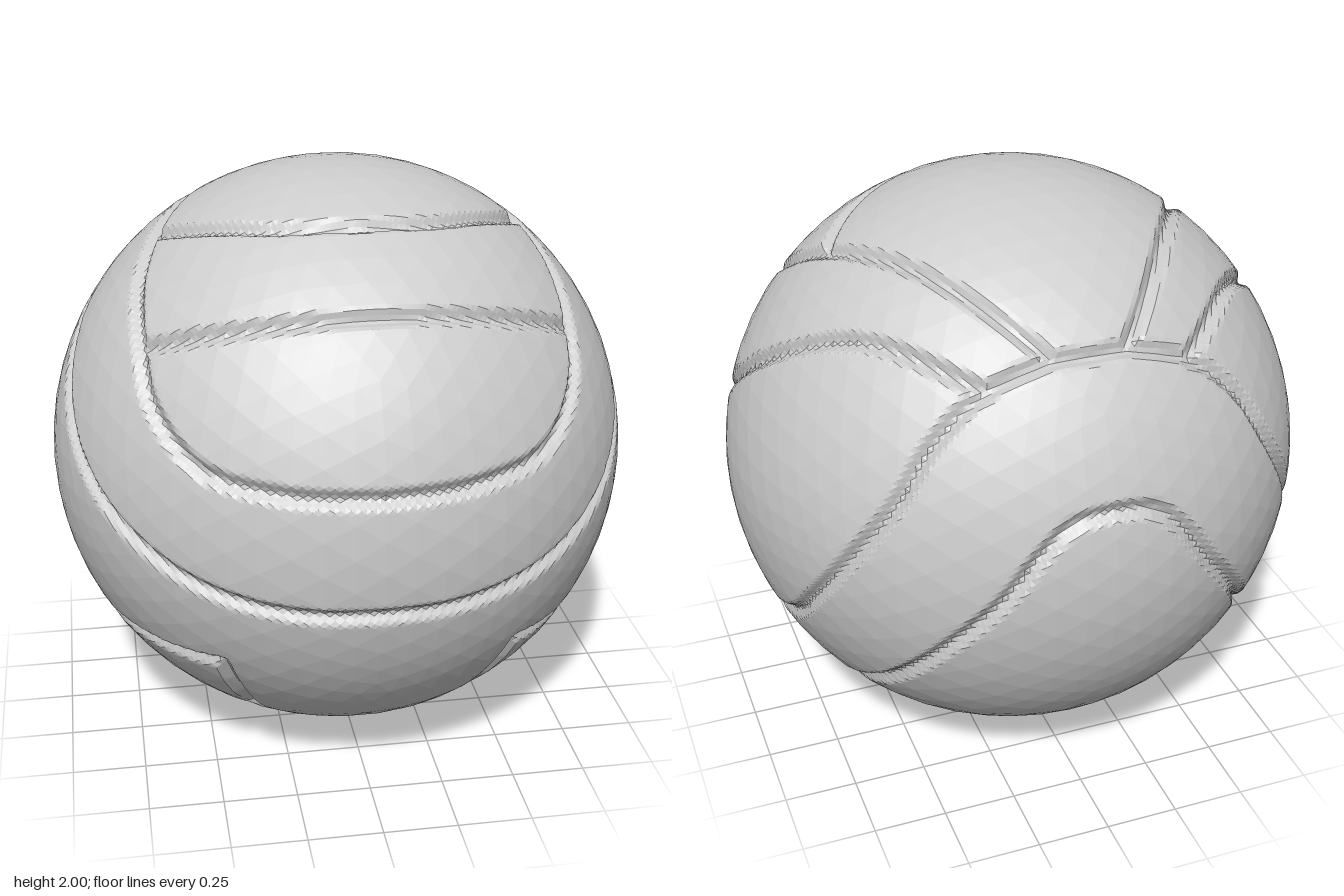
import * as THREE from 'three';

// Seam paths on the +x half of a unit sphere; the other half is mirrored.
const SEAMS = {
  topFront: [[0, 0.89, 0.45], [0.25, 0.88, 0.4], [0.5, 0.84, 0.22], [0.62, 0.78, 0.05]],
  frontMiddle: [[0, 0.68, 0.73], [0.4, 0.64, 0.66], [0.7, 0.53, 0.48]],
  upperBand: [[0, 0.19, 0.98], [0.3, 0.2, 0.93], [0.55, 0.25, 0.8], [0.68, 0.4, 0.61], [0.7, 0.53, 0.48],
    [0.69, 0.67, 0.27], [0.62, 0.78, 0.05], [0.42, 0.84, -0.33], [0.12, 0.67, -0.73]],
  lowerBand: [[0, -0.21, 0.98], [0.3, -0.2, 0.93], [0.6, -0.13, 0.79], [0.85, 0.05, 0.52], [0.93, 0.21, 0.3],
    [0.85, 0.51, -0.1], [0.62, 0.66, -0.4], [0.33, 0.6, -0.73]],
  sideStripTop: [[0, 0.67, -0.74], [0.12, 0.67, -0.73], [0.34, 0.6, -0.73], [0.5, 0.46, -0.73], [0.64, 0.25, -0.73],
    [0.78, 0, -0.62], [0.85, -0.17, -0.5], [0.88, -0.36, -0.3], [0.89, -0.46, 0], [0.85, -0.49, 0.2],
    [0.75, -0.49, 0.45], [0.49, -0.47, 0.73]],
  sideStripBottom: [[0, 0.25, -0.97], [0.13, 0.23, -0.97], [0.25, 0.12, -0.96], [0.33, 0, -0.94], [0.52, -0.26, -0.81],
    [0.64, -0.5, -0.58], [0.69, -0.69, -0.24], [0.62, -0.78, 0.1], [0.5, -0.81, 0.3], [0.35, -0.79, 0.48]],
  sideStripEnd: [[0.49, -0.47, 0.73], [0.42, -0.65, 0.62], [0.35, -0.79, 0.48]],
};
const HALF_WIDTH = 0.038, DEPTH = 0.027;

// Short straight pieces along every seam, laid on the sphere
function seamSegments() {
  const segments = [];
  for (const path of Object.values(SEAMS)) {
    const curve = new THREE.CatmullRomCurve3(path.map((p) => new THREE.Vector3(...p).normalize()));
    const pts = curve.getSpacedPoints(36).map((p) => p.normalize());
    for (let i = 0; i < 36; i++) segments.push(new THREE.Line3(pts[i], pts[i + 1]));
  }
  return segments;
}

// 1 at the bottom of a groove, 0 on the open panel
function makeGroove() {
  const segments = seamSegments();
  const q = new THREE.Vector3(), near = new THREE.Vector3();
  return (p) => {
    q.copy(p).normalize();
    q.x = Math.abs(q.x);
    let best = HALF_WIDTH * HALF_WIDTH;
    for (const s of segments) {
      if (s.start.distanceToSquared(q) > 0.03) continue;
      s.closestPointToPoint(q, true, near);
      best = Math.min(best, near.distanceToSquared(q));
    }
    return 1 - THREE.MathUtils.smoothstep(Math.sqrt(best) / HALF_WIDTH, 0, 1);
  };
}

export function createModel() {
  const group = new THREE.Group();
  group.name = 'ball';
  const material = new THREE.MeshStandardMaterial({ color: 0xcccccc, flatShading: true });
  material.name = 'light grey';

  const groove = makeGroove();
  const facets = new THREE.IcosahedronGeometry(1, 10).getAttribute('position');
  const panels = [], seams = [];
  const N = 6;
  const a = new THREE.Vector3(), b = new THREE.Vector3(), c = new THREE.Vector3();

  // Split each flat facet into a fine grid and press the grooves into it
  for (let f = 0; f < facets.count; f += 3) {
    a.fromBufferAttribute(facets, f);
    b.fromBufferAttribute(facets, f + 1);
    c.fromBufferAttribute(facets, f + 2);
    const grid = [];
    for (let i = 0; i <= N; i++) {
      grid.push([]);
      for (let j = 0; j <= N - i; j++) {
        const p = a.clone().multiplyScalar((N - i - j) / N)
          .addScaledVector(b, i / N).addScaledVector(c, j / N);
        const g = groove(p);
        grid[i].push({ p: p.multiplyScalar(1 - DEPTH * g), g });
      }
    }
    const addTriangle = (...corners) => {
      const target = corners.some((v) => v.g > 0) ? seams : panels;
      for (const { p } of corners) target.push(p.x, p.y, p.z);
    };
    for (let i = 0; i < N; i++) {
      for (let j = 0; j < N - i; j++) {
        addTriangle(grid[i][j], grid[i + 1][j], grid[i][j + 1]);
        if (j < N - i - 1) addTriangle(grid[i + 1][j], grid[i + 1][j + 1], grid[i][j + 1]);
      }
    }
  }

  for (const [name, positions] of [['panels', panels], ['seamGrooves', seams]]) {
    const geometry = new THREE.BufferGeometry();
    geometry.setAttribute('position', new THREE.Float32BufferAttribute(positions, 3));
    geometry.computeVertexNormals();
    const mesh = new THREE.Mesh(geometry, material);
    mesh.name = name;
    mesh.position.y = 1;
    group.add(mesh);
  }
  return group;
}
